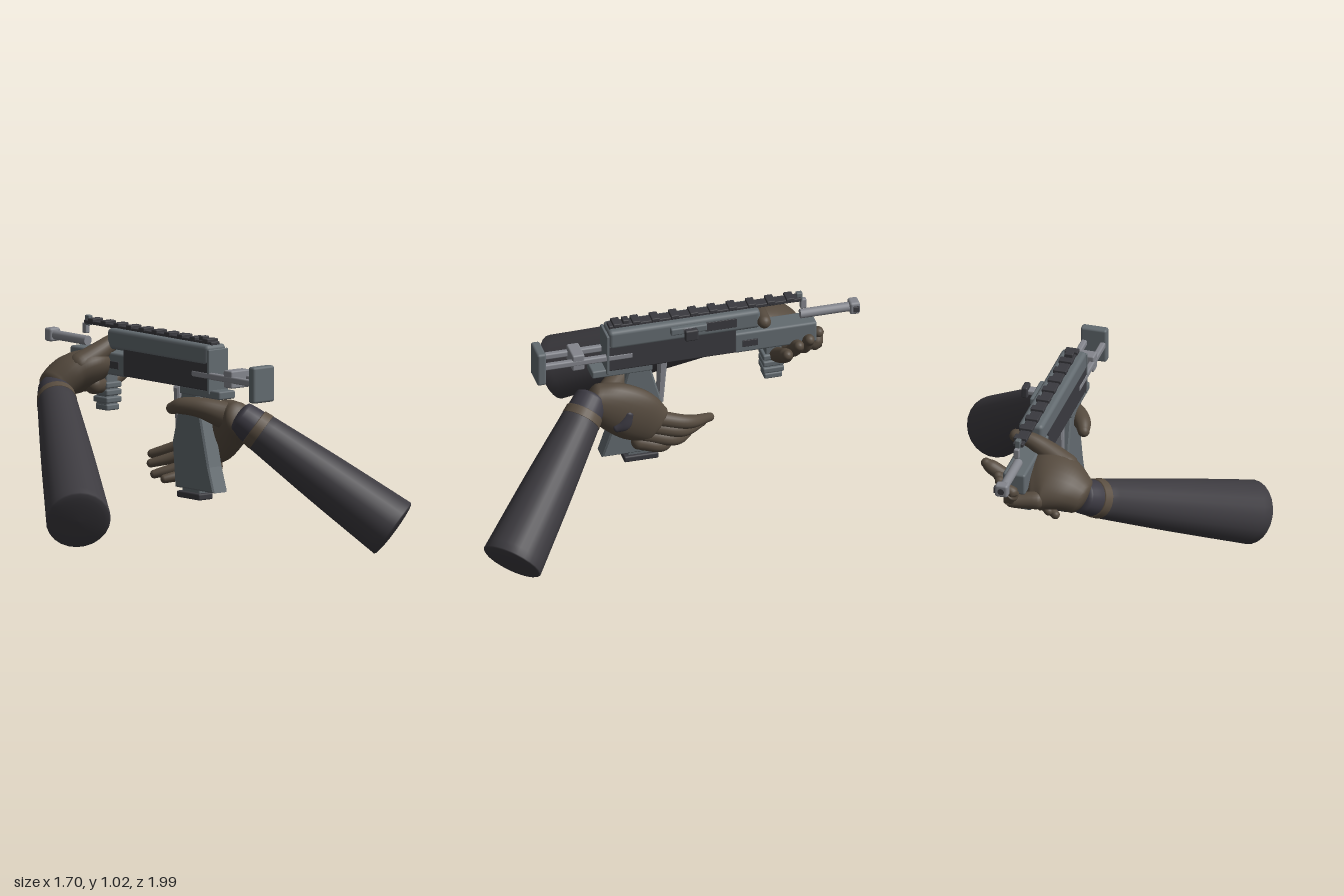
import * as THREE from 'three';
import { RoundedBoxGeometry } from 'three/addons/geometries/RoundedBoxGeometry.js';

const mat = (name, color) => Object.assign(new THREE.MeshStandardMaterial({ color }), { name });
const V = (x, y, z) => new THREE.Vector3(x, y, z);

export function createModel() {
  const sleeve = mat('sleeve charcoal', 0x3d3b40);
  const glove = mat('glove brown', 0x564b3f);
  const cuff = mat('cuff slate', 0x3c3a43);
  const band = mat('cuff band tan', 0x5a4e41);
  const steel = mat('steel grey', 0x636b70);
  const light = mat('light grey', 0x84868d);
  const dark = mat('dark polymer', 0x3a3a3f);

  const model = new THREE.Group();
  model.name = 'armsHoldingGun';
  const group = (name) => {
    const g = new THREE.Group();
    g.name = name;
    model.add(g);
    return g;
  };
  const add = (parent, name, geometry, material) => {
    const m = new THREE.Mesh(geometry, material);
    m.name = name;
    parent.add(m);
    return m;
  };

  // Elliptical loft through stations [x, y, z, width, thickness], with rounded ends
  const loft = (parent, name, material, stations, widthAxis = V(0, 1, 0.01), cap = 0.9) => {
    const path = new THREE.CatmullRomCurve3(stations.map((s) => V(s[0], s[1], s[2])));
    const size = new THREE.CatmullRomCurve3(stations.map((s, i) => V(s[3], s[4], i)));
    const sides = 24, steps = 20, capRings = 5, rings = [], pos = [], idx = [];
    const ring = (t, k, push) => rings.push([t, k, push]);
    for (let i = 0; i < capRings; i++) {
      const a = (i / capRings) * Math.PI / 2;
      ring(0, Math.sin(a), -Math.cos(a));
    }
    for (let i = 0; i <= steps; i++) ring(i / steps, 1, 0);
    for (let i = capRings - 1; i >= 0; i--) {
      const a = (i / capRings) * Math.PI / 2;
      ring(1, Math.sin(a), Math.cos(a));
    }
    for (const [t, k, push] of rings) {
      const T = path.getTangent(t);
      const B = T.clone().cross(widthAxis).normalize();
      const W = B.clone().cross(T);
      const s = size.getPoint(t);
      const c = path.getPoint(t).addScaledVector(T, push * cap * Math.min(s.x, s.y));
      for (let j = 0; j < sides; j++) {
        const a = (j / sides) * Math.PI * 2;
        const p = c.clone().addScaledVector(W, s.x * k * Math.cos(a)).addScaledVector(B, s.y * k * Math.sin(a));
        pos.push(p.x, p.y, p.z);
      }
    }
    for (let i = 0; i < rings.length - 1; i++) {
      for (let j = 0; j < sides; j++) {
        const n = (j + 1) % sides, a = i * sides, b = a + sides;
        idx.push(a + j, a + n, b + j, a + n, b + n, b + j);
      }
    }
    const g = new THREE.BufferGeometry();
    g.setAttribute('position', new THREE.Float32BufferAttribute(pos, 3));
    g.setIndex(idx);
    g.computeVertexNormals();
    return add(parent, name, g, material);
  };

  // Sleeve, band and wrist cuff along one straight forearm
  const forearm = (parent, end, wrist, endRadius) => {
    const dir = wrist.clone().sub(end).normalize();
    const at = (d, r) => [...wrist.clone().addScaledVector(dir, d).toArray(), r, r];
    const mid = end.clone().lerp(wrist, 0.5);
    const midRadius = (endRadius + 0.1) / 2;
    loft(parent, 'sleeve', sleeve, [[...end.toArray(), endRadius, endRadius],
      [...mid.toArray(), midRadius, midRadius], at(-0.02, 0.095)], undefined, 0.12);
    loft(parent, 'cuffBand', band, [at(-0.022, 0.097), at(0.022, 0.093)], undefined, 0.05);
    loft(parent, 'wristCuff', cuff, [at(0.0, 0.088), at(0.05, 0.086), at(0.1, 0.08)], undefined, 0.3);
  };

  // Support arm: reaches across to the handguard
  const support = group('supportArm');
  forearm(support, V(-0.715, 0.23, 0.27), V(-0.185, 0.665, -0.53), 0.155);
  loft(support, 'palm', glove, [[-0.13, 0.715, -0.61, 0.1, 0.085], [-0.05, 0.76, -0.61, 0.145, 0.095],
    [0.03, 0.775, -0.605, 0.17, 0.095], [0.09, 0.77, -0.61, 0.15, 0.075]], V(0, 0.45, 0.89), 0.5);
  const supportTips = [[0.345, 0.805, -0.585], [0.26, 0.79, -0.665], [0.235, 0.8, -0.725], [0.18, 0.8, -0.785]];
  supportTips.forEach(([x, y, z], i) => {
    const k = 0.038 - i * 0.002;
    loft(support, 'finger', glove, [[0.05, 0.715 + i * 0.005, -0.54 - i * 0.065, 0.045, 0.045],
      [0.17, 0.71 + i * 0.008, z + 0.012, k, k], [x - 0.03, y - 0.02, z, k - 0.003, k - 0.003], [x, y, z, 0.024, 0.024]]);
  });
  loft(support, 'thumb', glove, [[-0.04, 0.82, -0.53, 0.06, 0.06], [0.06, 0.875, -0.51, 0.05, 0.05],
    [0.15, 0.92, -0.505, 0.038, 0.038], [0.22, 0.93, -0.505, 0.032, 0.032]]);

  // Firing arm: hand around the pistol grip
  const firing = group('firingArm');
  forearm(firing, V(0.725, 0.122, 0.88), V(0.28, 0.585, 0.41), 0.15);
  loft(firing, 'palm', glove, [[0.225, 0.63, 0.34, 0.09, 0.075], [0.24, 0.595, 0.25, 0.125, 0.075],
    [0.25, 0.53, 0.14, 0.135, 0.065], [0.25, 0.46, 0.05, 0.105, 0.05]], V(0, 0.87, -0.5), 0.5);
  const firingTips = [[0.17, 0.405, -0.25], [0.14, 0.365, -0.22], [0.12, 0.32, -0.17], [0.1, 0.31, -0.07]];
  firingTips.forEach(([x, y, z], i) => {
    const ky = 0.5 - i * 0.04, kz = 0.02 + i * 0.025;
    loft(firing, 'finger', glove, [[0.25, ky, kz + 0.03, 0.04, 0.04],
      [0.255, (ky + y) / 2, (kz + z) / 2, 0.034, 0.034], [x, y, z, 0.021, 0.021]]);
  });
  loft(firing, 'thumb', glove, [[0.21, 0.64, 0.27, 0.07, 0.06], [0.12, 0.68, 0.18, 0.05, 0.05],
    [0.065, 0.685, 0.1, 0.04, 0.04], [0.045, 0.67, 0.05, 0.028, 0.028]]);
  loft(firing, 'handPatch', cuff, [[0.305, 0.505, 0.25, 0.02, 0.014], [0.312, 0.525, 0.21, 0.03, 0.014],
    [0.309, 0.58, 0.185, 0.02, 0.014]], V(0, 0.8, 0.6));

  // Gun: every block given by its x, y and z ranges
  const gun = group('gun');
  const box = (name, material, x0, x1, y0, y1, z0, z1, r = 0.008) => {
    const w = x1 - x0, h = y1 - y0, d = z1 - z0;
    const g = new RoundedBoxGeometry(w, h, d, 2, Math.min(r, w / 3, h / 3, d / 3));
    add(gun, name, g, material).position.set((x0 + x1) / 2, (y0 + y1) / 2, (z0 + z1) / 2);
  };
  const rod = (name, material, r, x, y, z0, z1) => {
    const g = new THREE.CylinderGeometry(r, r, z1 - z0, 20).rotateX(Math.PI / 2);
    add(gun, name, g, material).position.set(x, y, (z0 + z1) / 2);
  };
  box('upperReceiver', steel, 0.09, 0.212, 0.89, 0.99, -0.49, 0.26, 0.02);
  box('lowerReceiver', dark, 0.093, 0.209, 0.77, 0.91, -0.37, 0.262);
  box('rearPlate', steel, 0.091, 0.213, 0.755, 0.97, 0.258, 0.272, 0.004);
  box('triggerFrame', steel, 0.1, 0.2, 0.735, 0.775, 0.04, 0.34);
  box('handguard', steel, 0.095, 0.207, 0.765, 0.875, -0.77, -0.36, 0.012);
  for (const x of [0.092, 0.21]) {
    box('handguardSlot', dark, x - 0.004, x + 0.004, 0.8, 0.835, -0.475, -0.4, 0.002);
  }
  box('ejectionPort', dark, 0.208, 0.216, 0.92, 0.968, -0.37, -0.215, 0.002);

  // Top rail and sights
  box('railBase', dark, 0.125, 0.177, 0.985, 1.003, -0.7, 0.25, 0.004);
  for (let i = 0; i < 10; i++) {
    const z = 0.21 - i * 0.095;
    box('railTooth', dark, 0.118, 0.184, 0.996, 1.015, z - 0.02, z + 0.02, 0.004);
  }
  box('rearSight', dark, 0.13, 0.172, 1.0, 1.022, 0.15, 0.18, 0.004);
  box('frontSight', steel, 0.138, 0.164, 0.975, 1.024, -0.71, -0.68, 0.005);
  box('frontSightPost', light, 0.138, 0.164, 0.935, 0.985, -0.73, -0.7, 0.005);

  // Charging handle
  box('handlePlate', steel, 0.2, 0.235, 0.935, 0.972, -0.22, -0.04);
  box('handleStem', light, 0.23, 0.268, 0.945, 0.97, -0.15, -0.1);
  box('handleKnob', dark, 0.264, 0.295, 0.93, 0.988, -0.16, -0.095);

  // Barrel and muzzle
  rod('barrel', light, 0.023, 0.15, 0.9, -0.96, -0.7);
  box('muzzle', light, 0.118, 0.182, 0.868, 0.933, -0.99, -0.94, 0.012);
  box('muzzleLug', dark, 0.178, 0.19, 0.885, 0.915, -0.985, -0.955, 0.003);
  rod('muzzleBore', dark, 0.016, 0.15, 0.9, -0.993, -0.988);

  // Folding stock
  for (const x of [0.105, 0.197]) box('stockRod', light, x - 0.014, x + 0.014, 0.828, 0.86, 0.14, 0.58);
  box('stockBlock', light, 0.092, 0.21, 0.802, 0.887, 0.38, 0.44);
  box('buttPlate', steel, 0.086, 0.216, 0.75, 0.925, 0.57, 0.615, 0.012);

  // Profile in z and y, extruded across x
  const slab = (name, material, points, x0, x1) => {
    const shape = new THREE.Shape(points.map(([z, y]) => new THREE.Vector2(-z, y)));
    const b = 0.008;
    const g = new THREE.ExtrudeGeometry(shape, {
      depth: x1 - x0 - 2 * b, bevelThickness: b, bevelSize: b, bevelOffset: -b, bevelSegments: 1,
    });
    g.rotateY(Math.PI / 2).translate(x0 + b, 0, 0);
    add(gun, name, g, material);
  };
  slab('pistolGrip', steel, [[0.29, 0.28], [0.0, 0.28], [-0.02, 0.5], [0.05, 0.75], [0.16, 0.75], [0.25, 0.4]], 0.105, 0.195);
  slab('triggerGuard', light, [[0.01, 0.52], [-0.02, 0.53], [-0.04, 0.76], [0.0, 0.76]], 0.125, 0.175);
  box('magazineStem', steel, 0.125, 0.18, 0.25, 0.29, 0.03, 0.16);
  box('magazineBase', dark, 0.108, 0.196, 0.232, 0.264, 0.01, 0.18);

  // Ribbed foregrip
  box('foregripCore', steel, 0.115, 0.187, 0.6, 0.77, -0.6, -0.52);
  for (let i = 0; i < 4; i++) {
    const y = 0.585 + i * 0.036, w = i ? 0 : -0.008;
    box('foregripRib', steel, 0.105 - w, 0.2 + w, y, y + 0.03, -0.61 - w, -0.505 + w);
  }
  return model;
}
